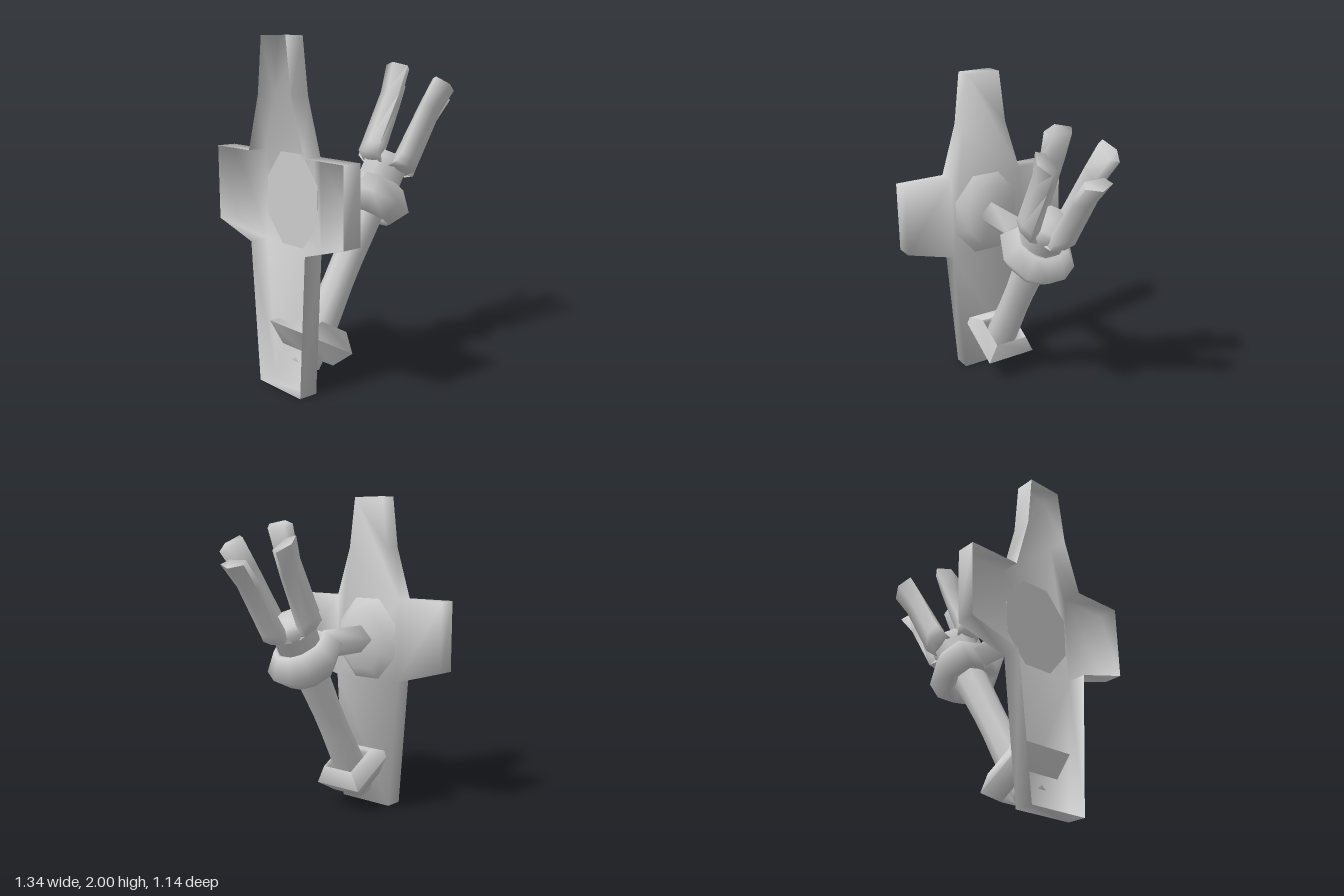
import * as THREE from 'three';
import { toCreasedNormals } from 'three/addons/utils/BufferGeometryUtils.js';

const material = new THREE.MeshStandardMaterial({ color: 0xcccccc, side: THREE.DoubleSide });

// Soft shading runs over nearly every edge of the low-poly parts
function addPart(parent, name, geometry) {
  const mesh = new THREE.Mesh(toCreasedNormals(geometry, 1.75), material);
  mesh.name = name;
  parent.add(mesh);
  return mesh;
}

// Skin a list of equal-length rings; either capped at both ends or closed into a loop
function loft(rings, closed = false) {
  const n = rings[0].length, m = rings.length, index = [];
  for (let i = 0; i < (closed ? m : m - 1); i++) {
    for (let j = 0; j < n; j++) {
      const k = (j + 1) % n, up = ((i + 1) % m) * n;
      const a = i * n + j, b = i * n + k, c = up + k, d = up + j;
      index.push(a, b, c, a, c, d);
    }
  }
  if (!closed) {
    const top = (m - 1) * n;
    for (let j = 1; j < n - 1; j++) index.push(0, j + 1, j, top, top + j, top + j + 1);
  }
  const geometry = new THREE.BufferGeometry();
  geometry.setAttribute('position', new THREE.Float32BufferAttribute(rings.flat(2), 3));
  geometry.setIndex(index);
  return geometry;
}

// Eight-sided turned part from [radius, height] points
function turned(points, phiStart = 0) {
  return new THREE.LatheGeometry(points.map(([r, y]) => new THREE.Vector2(r, y)), 8, phiStart);
}

// Faceted collar: a bevelled section carried around an outline of [x, z, reach] points,
// where reach pushes the outer edge further along x
function collar(outline, y, h, inner) {
  const section = [[1, 0], [0.66, -h], [inner, -h * 0.8], [inner, h * 0.8], [0.66, h]];
  return loft(outline.map(([x, z, reach = 1]) => section.map(
    ([f, dy]) => [x * f * (f === 1 ? reach : 1), y + dy, z * f])), true);
}

// Upright prong on the +x side; rows are [height, inner radius, outer radius, half width, ridge]
function prong() {
  const rows = [
    [1.255, 0.08, 0.135, 0.08, 0.02],
    [1.29, 0.09, 0.193, 0.085, 0.02],
    [1.35, 0.105, 0.198, 0.08, 0.02],
    [1.68, 0.139, 0.215, 0.08, 0.025],
    [1.847, 0.172, 0.262, 0.092, 0.04],
  ];
  return loft(rows.map(([y, ri, ro, w, ridge]) => [
    [ro, y, 0], [ro - ridge, y, -w], [ri, y, -w * 0.7], [ri, y, w * 0.7], [ro - ridge, y, w],
  ]));
}

// Cross-shaped plate with turned-back edges, hollow towards the wall
function hollowPlate(back, depth) {
  const half = [[0.19, 0], [0.25, 0.83], [0.57, 0.92], [0.57, 1.36], [0.25, 1.36], [0.15, 1.68], [0.11, 2]];
  const outline = [...half, ...half.map(([z, y]) => [-z, y]).reverse()];
  const solid = new THREE.ExtrudeGeometry(
    new THREE.Shape(outline.map(([z, y]) => new THREE.Vector2(z, y))), { depth, bevelEnabled: false });
  solid.rotateY(Math.PI / 2).translate(back, 0, 0);
  // Leave out the triangles lying wholly in the back plane
  const position = solid.attributes.position, kept = [];
  for (let i = 0; i < position.count; i += 3) {
    if ([0, 1, 2].some((k) => position.getX(i + k) > back + 0.01)) kept.push(i, i + 1, i + 2);
  }
  solid.setIndex(kept);
  return solid;
}

export function createModel() {
  const model = new THREE.Group();
  model.name = 'wallTorch';

  addPart(model, 'wallPlate', hollowPlate(-0.67, 0.115));

  // Octagonal boss on the plate
  const boss = new THREE.CylinderGeometry(0.73 * 1.082, 1.082, 0.07, 8);
  boss.rotateY(Math.PI / 8).scale(0.265, 1, 0.228).rotateZ(-Math.PI / 2).translate(-0.525, 1.095, 0);
  addPart(model, 'boss', boss);

  // Diamond-section arm, ending inside the upper collar
  const arm = new THREE.CylinderGeometry(0.088, 0.088, 0.38, 4);
  arm.rotateZ(-Math.PI / 2).translate(-0.31, 1.095, 0);
  addPart(model, 'arm', arm);

  // Leaning torch, built upright along its own axis
  const torch = new THREE.Group();
  torch.name = 'torch';
  torch.position.set(-0.48, 0.115, 0);
  torch.rotation.z = -Math.PI / 6;
  model.add(torch);

  addPart(torch, 'shaft', turned([
    [0, -0.015], [0.09, -0.015], [0.093, 0.05], [0.1, 0.22], [0.091, 0.5],
    [0.091, 0.65], [0.102, 0.95], [0.102, 1.15],
  ]));

  // Solid cup flaring under the prongs
  addPart(torch, 'cup', turned(
    [[0.11, 1.08], [0.138, 1.16], [0.138, 1.25], [0.152, 1.3], [0.125, 1.34], [0, 1.34]], Math.PI / 8));

  // Square foot collar that runs back into the plate
  addPart(torch, 'footCollar', collar(
    [[0.168, 0.168], [0.168, -0.168], [-0.155, -0.168, 1.5], [-0.155, 0.168, 1.5]], 0.146, 0.105, 0.61));

  // Upper collar, notched where the arm meets it
  const side = [[0.24, 0.06], [0.17, 0.17], [0, 0.235], [-0.18, 0.165], [-0.21, 0.04]];
  addPart(torch, 'upperCollar', collar(
    [...side.map(([x, z]) => [x, -z]), [-0.18, 0], ...side.slice().reverse()], 1.057, 0.115, 0.45));

  // Four prongs around the cup
  for (let i = 0; i < 4; i++) {
    addPart(torch, 'prong', prong()).rotation.y = i * Math.PI / 2;
  }
  return model;
}
